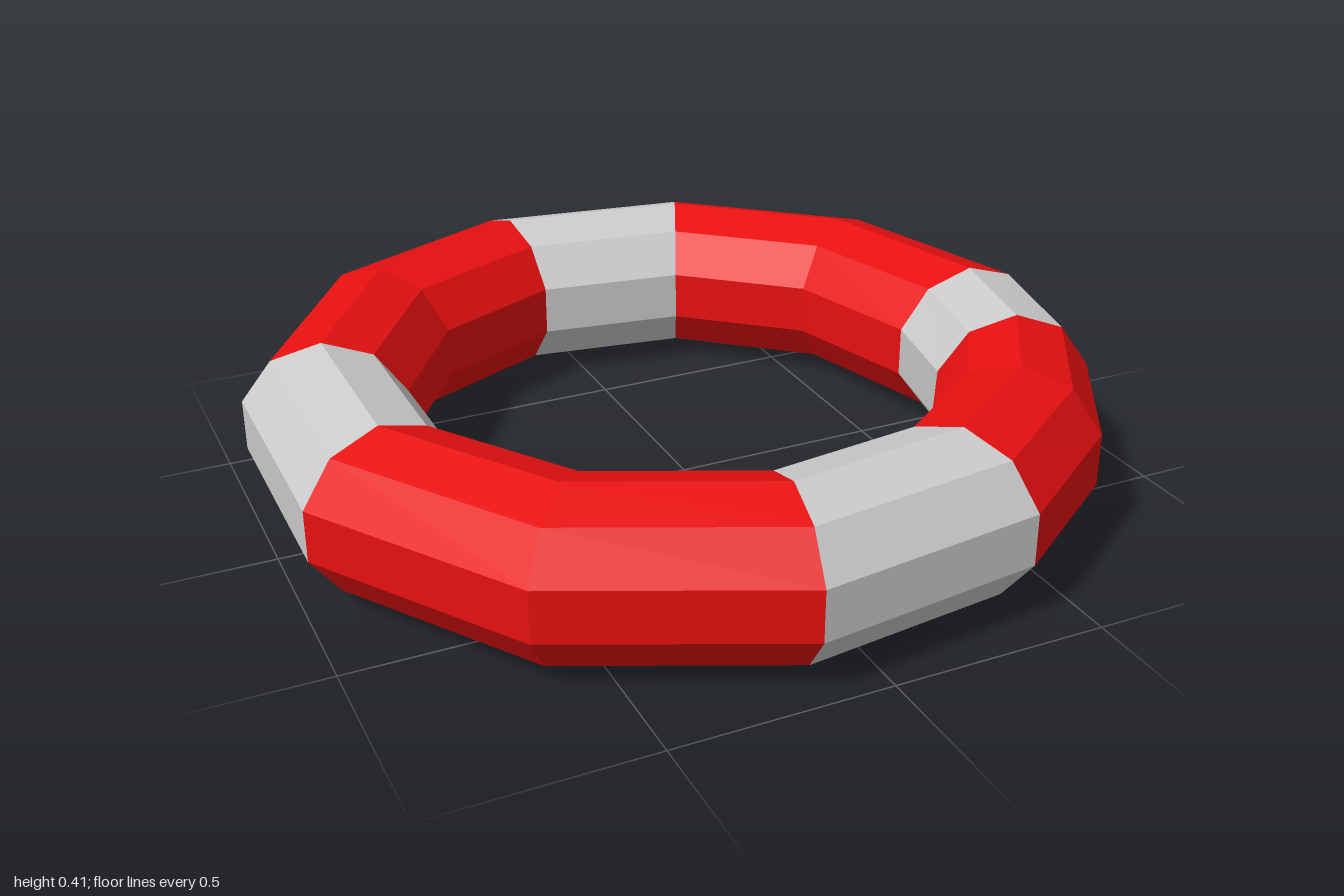
import * as THREE from 'three';

const SIDES = 10;
const MID_Y = 0.2;

// Rings around the tube: outer x, outer z, inner x, inner z, tube half height
const rings = [
  [0.985, 0, 0.6, 0, 0.195],
  [0.9, 0.36, 0.55, 0.25, 0.197],
  [0.7, 0.69, 0.43, 0.42, 0.203],
  [0.37, 0.925, 0.21, 0.575, 0.197],
  [-0.165, 0.995, -0.11, 0.615, 0.195],
  [-0.68, 0.76, -0.43, 0.47, 0.195],
  [-0.99, 0.28, -0.625, 0.18, 0.195],
  [-0.99, -0.285, -0.625, -0.18, 0.195],
  [-0.68, -0.765, -0.43, -0.475, 0.195],
  [-0.165, -1, -0.115, -0.62, 0.195],
  [0.395, -0.92, 0.24, -0.57, 0.195],
  [0.825, -0.55, 0.505, -0.34, 0.195],
];

// Point j on the ten-sided cross-section of ring i, with a corner at the top
function ringPoint(i, j) {
  const [ox, oz, ix, iz, h] = rings[i % rings.length];
  const a = Math.PI / 2 + (j / SIDES) * Math.PI * 2;
  const k = Math.cos(a) / Math.cos(Math.PI / SIDES) / 2;
  return [(ox + ix) / 2 + (ox - ix) * k, MID_Y + h * Math.sin(a), (oz + iz) / 2 + (oz - iz) * k];
}

// Skin the tube from ring `start` over `count` segments
function tubeSection(start, count) {
  const pos = [];
  for (let i = start; i < start + count; i++) {
    for (let j = 0; j < SIDES; j++) {
      const a = ringPoint(i, j), b = ringPoint(i, j + 1);
      const c = ringPoint(i + 1, j + 1), d = ringPoint(i + 1, j);
      pos.push(...a, ...b, ...c, ...a, ...c, ...d);
    }
  }
  const geo = new THREE.BufferGeometry();
  geo.setAttribute('position', new THREE.Float32BufferAttribute(pos, 3));
  geo.computeVertexNormals();
  return geo;
}

export function createModel() {
  const group = new THREE.Group();
  group.name = 'lifebuoy';
  const grey = new THREE.MeshStandardMaterial({ color: 0xcccccc, flatShading: true });
  const red = new THREE.MeshStandardMaterial({ color: 0xe81010, flatShading: true });

  // Four grey bands, each followed by a two-segment red section
  for (let q = 0; q < 4; q++) {
    const band = new THREE.Mesh(tubeSection(q * 3, 1), grey);
    band.name = `greyBand${q + 1}`;
    const section = new THREE.Mesh(tubeSection(q * 3 + 1, 2), red);
    section.name = `redSection${q + 1}`;
    group.add(band, section);
  }
  return group;
}
